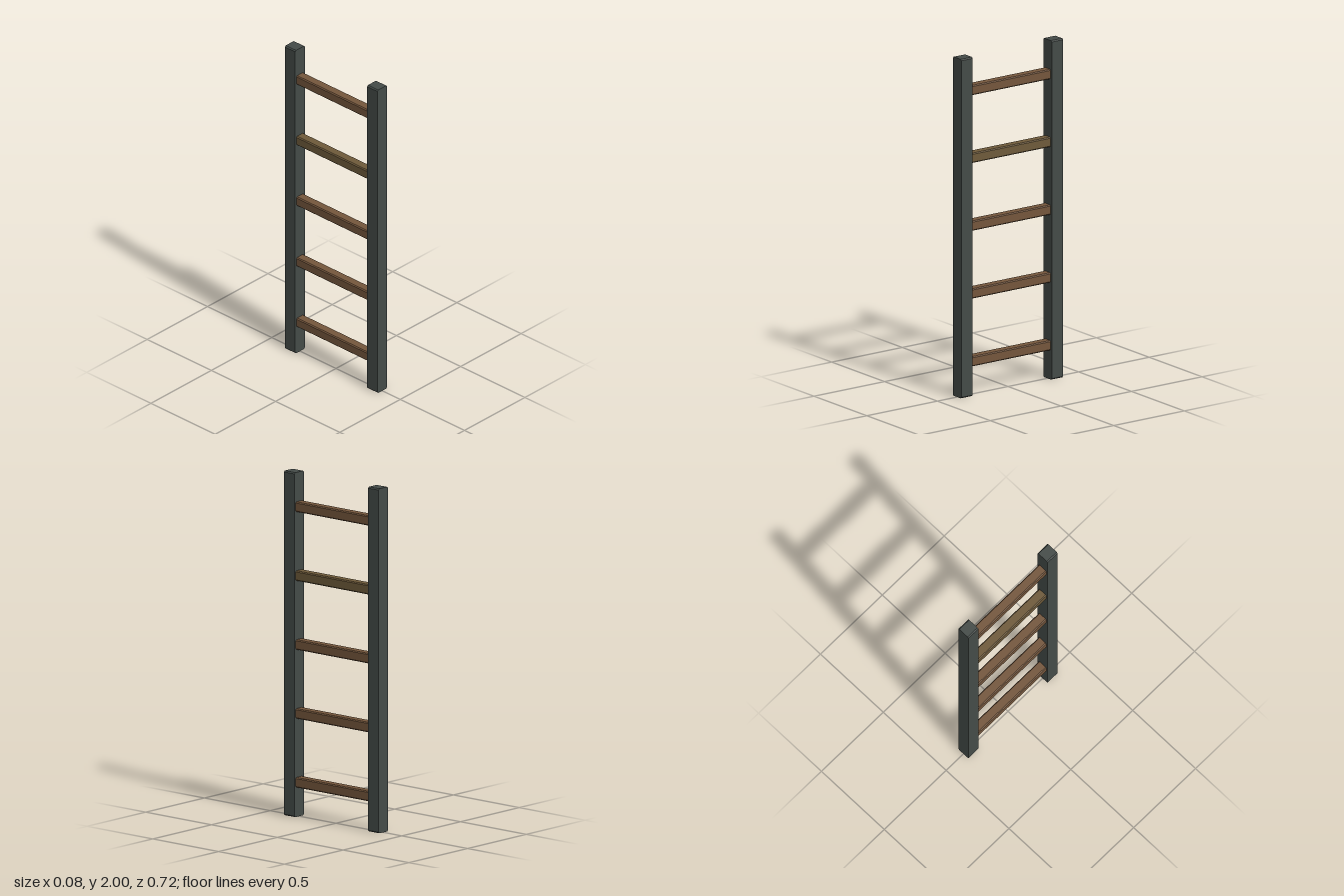
import * as THREE from 'three';

// Bar running along z with chamfered x/y corners, centred on the origin
function chamferedBar(width, height, length, chamfer) {
  const w = width / 2, h = height / 2, c = chamfer;
  const outline = new THREE.Shape([
    [w - c, -h], [w, -h + c], [w, h - c], [w - c, h],
    [-w + c, h], [-w, h - c], [-w, -h + c], [-w + c, -h],
  ].map(([x, y]) => new THREE.Vector2(x, y)));
  return new THREE.ExtrudeGeometry(outline, { depth: length, bevelEnabled: false })
    .translate(0, 0, -length / 2);
}

const material = (color) => new THREE.MeshStandardMaterial({ color, flatShading: true });

export function createModel() {
  const ladder = new THREE.Group();
  ladder.name = 'ladder';

  // Two upright rails
  const railMaterial = material(0x444b48);
  const railGeometry = chamferedBar(0.08, 2, 0.08, 0.007);
  for (const side of [-1, 1]) {
    const rail = new THREE.Mesh(railGeometry, railMaterial);
    rail.name = side > 0 ? 'frontRail' : 'backRail';
    rail.position.set(0, 1, side * 0.32);
    ladder.add(rail);
  }

  // Five wooden rungs, their ends set into the rails; the fourth is a paler plank
  const wood = material(0x74563c);
  const oliveWood = material(0x6e5a3a);
  const rungGeometry = chamferedBar(0.058, 0.058, 0.6, 0.006);
  for (let i = 0; i < 5; i++) {
    const rung = new THREE.Mesh(rungGeometry, i === 3 ? oliveWood : wood);
    rung.name = `rung${i + 1}`;
    rung.position.y = 0.2 + i * 0.4;
    ladder.add(rung);
  }
  return ladder;
}
